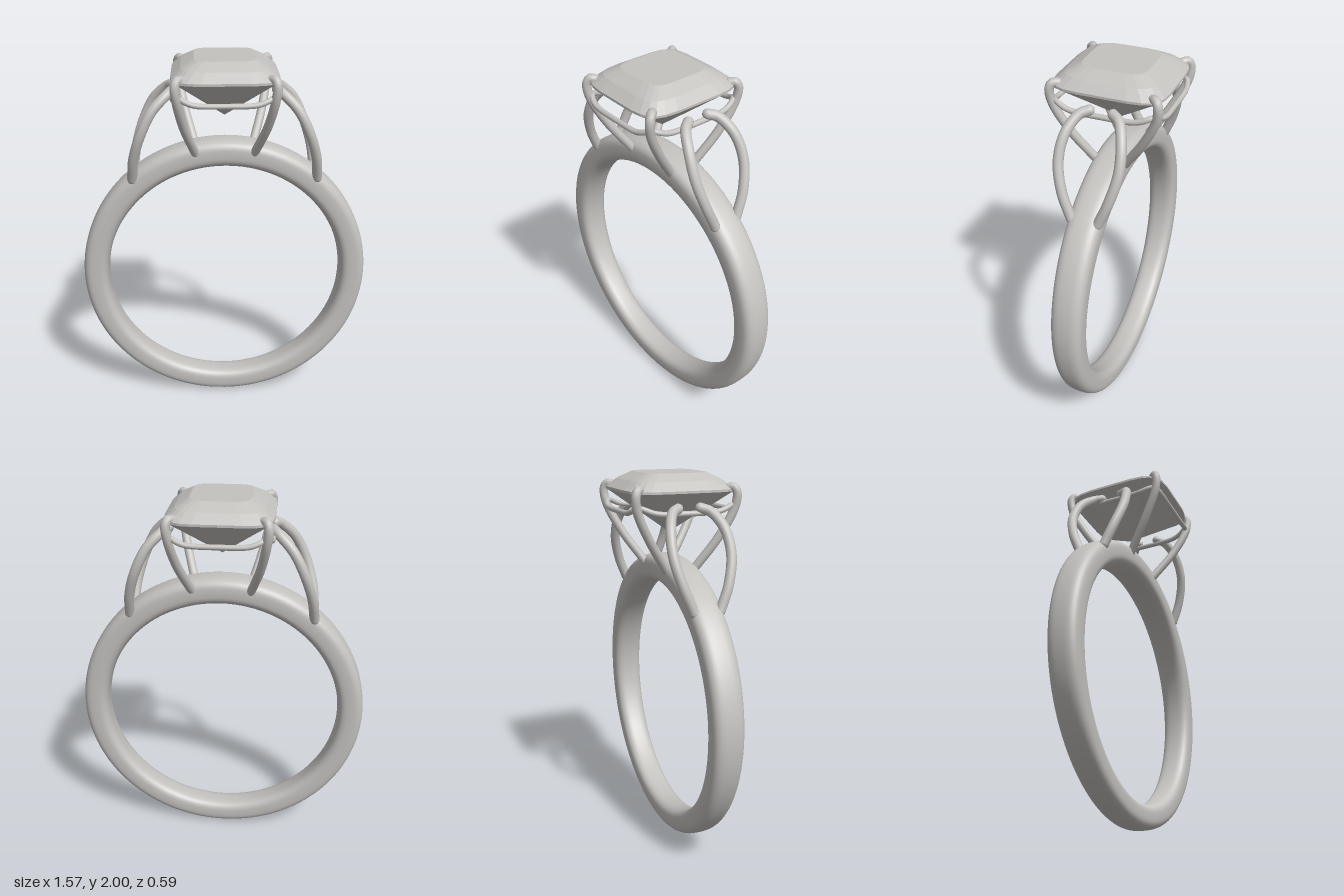
import * as THREE from 'three';
import { mergeVertices } from 'three/addons/utils/BufferGeometryUtils.js';
import { ConvexGeometry } from 'three/addons/geometries/ConvexGeometry.js';

const V = (x, y, z) => new THREE.Vector3(x, y, z);

// Point on a rounded rectangle with half sizes a and b
function rounded(t, a, b, n) {
  const f = (c) => Math.sign(c) * Math.abs(c) ** (2 / n);
  return [a * f(Math.cos(t)), b * f(Math.sin(t))];
}

export function createModel() {
  const group = new THREE.Group();
  const metal = new THREE.MeshStandardMaterial({ color: 0xc4c2bf });
  metal.name = 'pale grey';

  const add = (name, geometry, parent = group) => {
    const mesh = new THREE.Mesh(geometry, metal);
    mesh.name = name;
    parent.add(mesh);
    return mesh;
  };

  // Round wire with ball ends
  const wire = (name, points, radius) => {
    const part = new THREE.Group();
    part.name = name;
    const curve = new THREE.CatmullRomCurve3(points);
    add(name + 'Tube', new THREE.TubeGeometry(curve, 40, radius, 14), part);
    for (const p of [points[0], points[points.length - 1]]) {
      add(name + 'End', new THREE.SphereGeometry(radius, 14, 10), part).position.copy(p);
    }
    group.add(part);
  };

  // Band: soft-cornered section, slightly wider and thicker at the top
  const section = [];
  for (let i = 0; i <= 36; i++) {
    const [r, w] = rounded((i / 36) * Math.PI * 2, 0.069, 0.082, 3);
    section.push(new THREE.Vector2(0.716 + r, w));
  }
  let band = new THREE.LatheGeometry(section, 128);
  band.rotateX(Math.PI / 2);
  const pos = band.attributes.position;
  for (let i = 0; i < pos.count; i++) {
    const x = pos.getX(i), y = pos.getY(i);
    const inner = (0.785 - Math.hypot(x, y)) / 0.138;
    pos.setZ(i, pos.getZ(i) * (1 + 0.1 * (y / 0.785)));
    pos.setY(i, y + 0.785 - 0.008 * inner);
  }
  band.deleteAttribute('uv');
  band.deleteAttribute('normal');
  band = mergeVertices(band, 1e-5);
  band.computeVertexNormals();
  add('band', band);

  // Faceted cushion stone: table, crown, girdle and point
  const stone = [V(0, 1.69, 0)];
  const levels = [
    [0.155, 0.167, 2.0], [0.222, 0.238, 1.964], [0.27, 0.29, 1.922], [0.27, 0.29, 1.91],
  ];
  for (const [a, b, y] of levels) {
    for (let i = 0; i < 24; i++) {
      const [x, z] = rounded(((i + 0.5) / 24) * Math.PI * 2, a, b, 5);
      stone.push(V(x, y, z));
    }
  }
  add('stone', new ConvexGeometry(stone));

  // Gallery rail: wavy loop under the stone, dipping mid-side
  const rail = [];
  for (let i = 0; i < 48; i++) {
    const t = (i / 48) * Math.PI * 2;
    const [x, z] = rounded(t, 0.262, 0.282, 6);
    rail.push(V(x, 1.828 - 0.016 * Math.cos(4 * t), z));
  }
  const loop = new THREE.CatmullRomCurve3(rail, true);
  add('galleryRail', new THREE.TubeGeometry(loop, 160, 0.014, 12, true));

  // Corner prongs and shoulder wires, mirrored to all four corners
  for (const sx of [1, -1]) {
    for (const sz of [1, -1]) {
      const m = (x, y, z) => V(sx * x, y, sz * z);
      wire('prong', [
        m(0.218, 1.928, 0.238), m(0.235, 1.931, 0.258), m(0.245, 1.905, 0.272),
        m(0.238, 1.83, 0.264), m(0.209, 1.68, 0.19), m(0.155, 1.51, 0.075),
      ], 0.023);
      wire('shoulderWire', [
        m(0.487, 1.365, 0.07), m(0.471, 1.49, 0.12), m(0.427, 1.63, 0.153),
        m(0.365, 1.75, 0.142), m(0.29, 1.823, 0.1), m(0.262, 1.838, 0.06),
      ], 0.026);
    }
  }
  return group;
}
